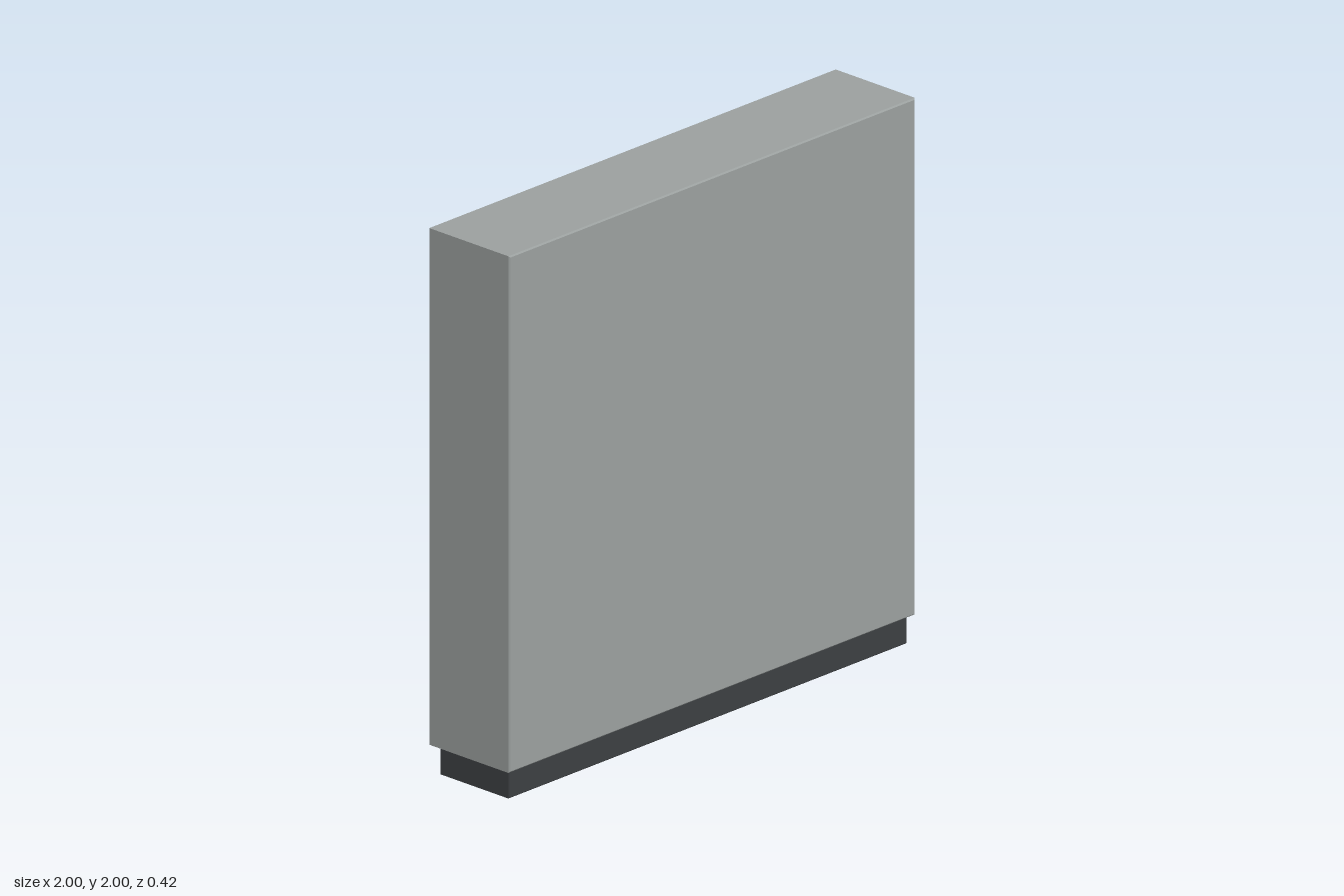
import * as THREE from 'three';

const mat = (color) => new THREE.MeshStandardMaterial({ color });

export function createModel() {
  const root = new THREE.Group();
  const grey = mat(0x9a9f9e), dark = mat(0x3c3f42), black = mat(0x2a2b2d);
  const blue = mat(0x5f7d9a), green = mat(0x1f9a3c), red = mat(0xc8281f);

  // box given by its extents, with small chamfers on the two z ends
  function panel(name, [x0, x1], [y0, y1], [z0, z1], material, bevel, parent = root) {
    const b = bevel;
    const s = new THREE.Shape();
    s.moveTo(x0 + b, y0 + b);
    s.lineTo(x1 - b, y0 + b);
    s.lineTo(x1 - b, y1 - b);
    s.lineTo(x0 + b, y1 - b);
    s.closePath();
    const geo = new THREE.ExtrudeGeometry(s, {
      depth: z1 - z0 - 2 * b, bevelEnabled: true, bevelSize: b, bevelThickness: b, bevelSegments: 1,
    });
    geo.translate(0, 0, z0 + b);
    const mesh = new THREE.Mesh(geo, material);
    mesh.name = name;
    parent.add(mesh);
    return mesh;
  }

  // plinth and cabinet body
  panel('plinth', [-0.98, 0.98], [0, 0.105], [-0.138, 0.19], dark, 0.004);
  panel('cabinetBody', [-1, 1], [0.105, 2], [-0.172, 0.21], grey, 0.005);

  // three doors on the -z side, each with a handle
  const doors = [
    { name: 'rightDoor', x: [-0.98, -0.335], handle: -0.385 },
    { name: 'middleDoor', x: [-0.325, 0.318], handle: 0.27 },
    { name: 'leftDoor', x: [0.328, 0.975], handle: 0.92 },
  ];
  for (const d of doors) {
    const group = new THREE.Group();
    group.name = d.name;
    panel('doorPanel', d.x, [0.14, 1.965], [-0.181, -0.17], grey, 0.002, group);
    panel('doorHandle', [d.handle - 0.016, d.handle + 0.016], [0.96, 1.16], [-0.21, -0.178], black, 0.003, group);
    root.add(group);
  }

  // display on the middle door
  panel('displayScreen', [-0.28, 0.28], [1.31, 1.66], [-0.186, -0.178], blue, 0.001);

  // rows of indicator lamps
  const lampGeo = new THREE.CylinderGeometry(0.013, 0.013, 0.012, 16).rotateX(Math.PI / 2);
  function lampRow(name, from, to, colours) {
    const group = new THREE.Group();
    group.name = name;
    [...colours].forEach((c, i) => {
      const lamp = new THREE.Mesh(lampGeo, c === 'r' ? red : green);
      lamp.name = 'indicatorLamp';
      lamp.position.set(THREE.MathUtils.lerp(from, to, i / (colours.length - 1)), 1.76, -0.184);
      group.add(lamp);
    });
    root.add(group);
  }
  lampRow('leftLamps', 0.825, 0.395, 'gggggggg');
  lampRow('rightLamps', -0.365, -0.857, 'grggrggr');

  return root;
}
